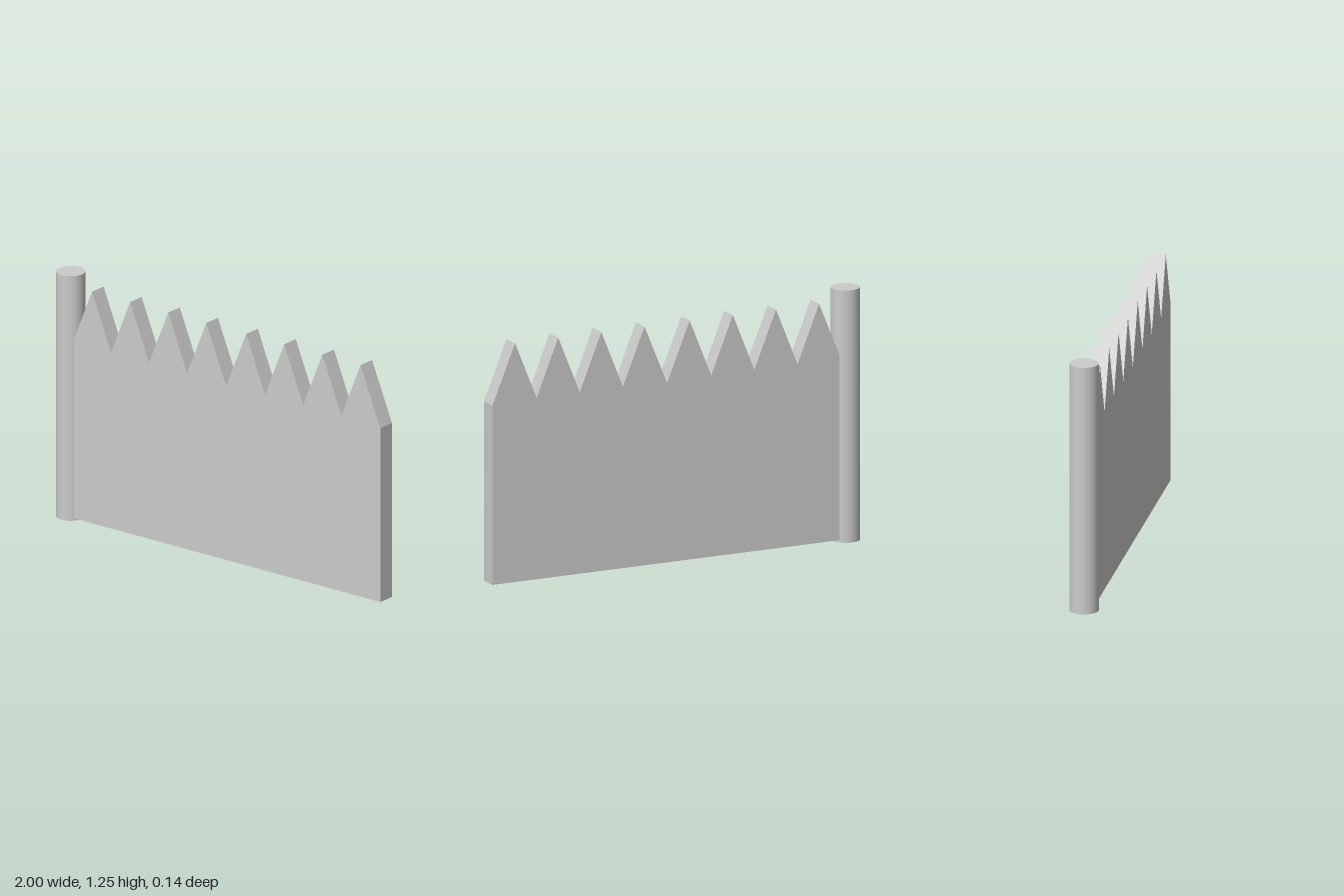
import * as THREE from 'three';

const material = new THREE.MeshStandardMaterial({ color: 0xcccccc });

// Outline of the fence: two runs of four pointed pickets, side by side
function fenceShape() {
  const runs = [-0.886, 0.057], runWidth = 0.943, pitch = 0.233;
  const bottom = 0.012, edge = 0.9, valley = 0.91, peak = 1.195;
  const shape = new THREE.Shape();
  shape.moveTo(runs[0], bottom);
  shape.lineTo(1, bottom);
  shape.lineTo(1, edge);
  for (const start of [...runs].reverse()) {
    const middle = start + runWidth / 2;
    for (let i = 3; i >= 0; i--) {
      const x = middle + (i - 1.5) * pitch;
      shape.lineTo(x, peak);
      if (i > 0) shape.lineTo(x - pitch / 2, valley);
      else shape.lineTo(start, edge);
    }
  }
  shape.closePath();
  return shape;
}

export function createModel() {
  const model = new THREE.Group();
  model.name = 'fenceSection';

  // Round post at one end
  const height = 1.25, radius = 0.071;
  const post = new THREE.Mesh(new THREE.CylinderGeometry(radius, radius, height, 48), material);
  post.name = 'post';
  post.position.set(-1 + radius, height / 2, 0);
  model.add(post);

  // Solid panel with a toothed top, its end sunk into the post
  const depth = 0.09;
  const geometry = new THREE.ExtrudeGeometry(fenceShape(), { depth, bevelEnabled: false });
  geometry.translate(0, 0, -depth / 2);
  const panel = new THREE.Mesh(geometry, material);
  panel.name = 'picketPanel';
  model.add(panel);

  return model;
}
